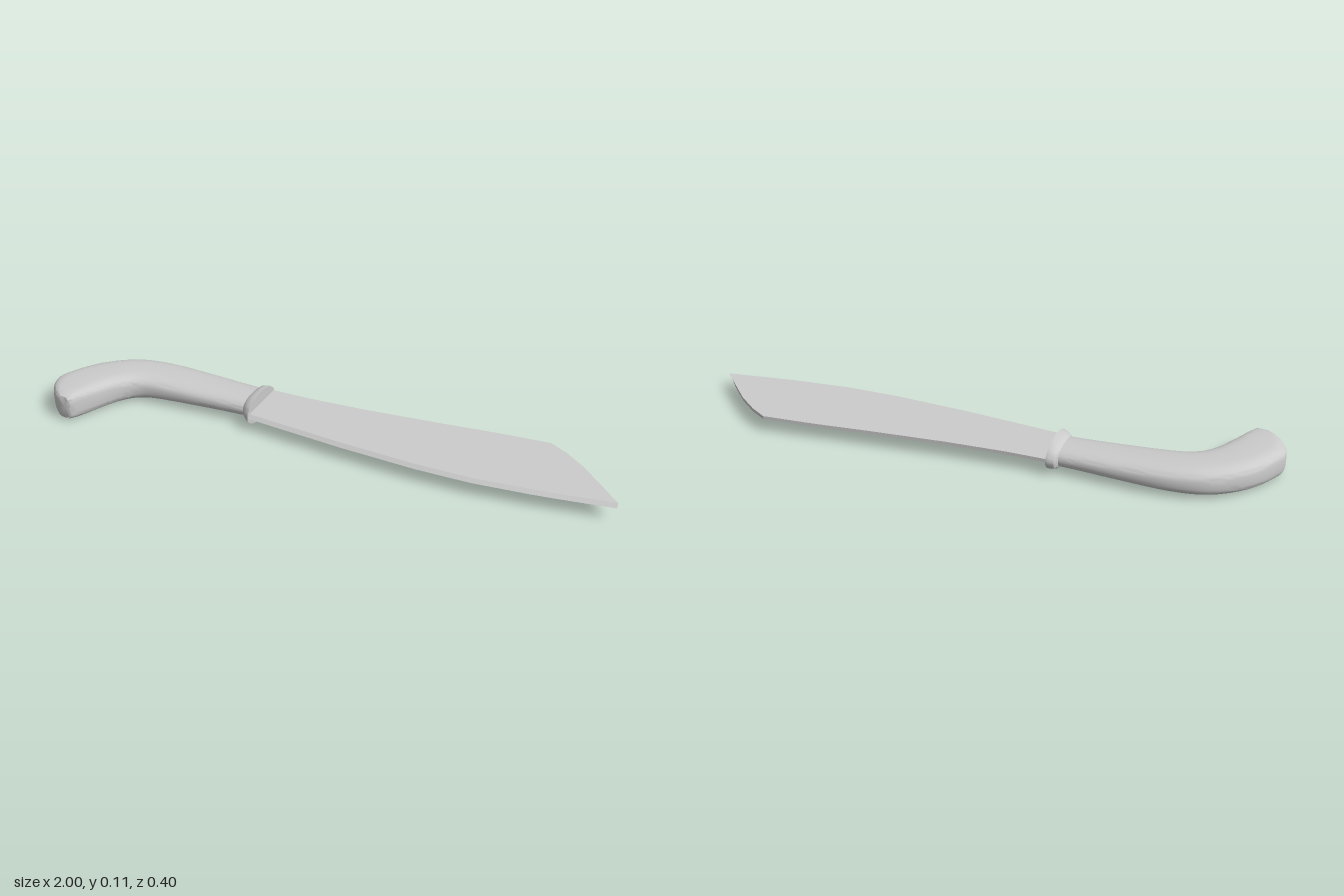
import * as THREE from 'three';
import { mergeVertices, toCreasedNormals } from 'three/addons/utils/BufferGeometryUtils.js';

const MID_Y = 0.056;
const V = (x, y, z) => new THREE.Vector3(x, y, z);

// Skin a list of rings (counter-clockwise about the direction of travel) and cap both ends
function loft(rings, crease) {
  const n = rings[0].length, pos = [], idx = [];
  rings.forEach(r => r.forEach(p => pos.push(p.x, p.y, p.z)));
  for (let i = 0; i < rings.length - 1; i++) {
    for (let j = 0; j < n; j++) {
      const a = i * n + j, b = i * n + (j + 1) % n;
      idx.push(a, b, b + n, a, b + n, a + n);
    }
  }
  [0, rings.length - 1].forEach((row, end) => {
    const c = rings[row].reduce((s, p) => s.add(p), V(0, 0, 0)).divideScalar(n);
    const ci = pos.length / 3;
    pos.push(c.x, c.y, c.z);
    for (let j = 0; j < n; j++) {
      const a = row * n + j, b = row * n + (j + 1) % n;
      idx.push(ci, ...(end ? [a, b] : [b, a]));
    }
  });
  const g = new THREE.BufferGeometry();
  g.setAttribute('position', new THREE.Float32BufferAttribute(pos, 3));
  g.setIndex(idx);
  return toCreasedNormals(mergeVertices(g), crease);
}

// Superellipse ring spanning a back and a front outline point
function ovalRing(ox, oz, ix, iz, h, power, sides = 40) {
  const bend = v => Math.sign(v) * Math.abs(v) ** (2 / power);
  return Array.from({ length: sides }, (_, k) => {
    const a = k / sides * Math.PI * 2, c = bend(Math.cos(a)), s = bend(Math.sin(a));
    return V((ox + ix) / 2 + c * (ox - ix) / 2, MID_Y + s * h, (oz + iz) / 2 + c * (oz - iz) / 2);
  });
}

export function createModel() {
  const group = new THREE.Group();
  const material = new THREE.MeshStandardMaterial({ color: 0xcccccc });
  const add = (name, geometry) => {
    const mesh = new THREE.Mesh(geometry, material);
    mesh.name = name;
    group.add(mesh);
  };

  // Curved grip, butt to neck: back x, z, front x, z, half height, section power
  const grip = [
    [-0.925, 0.193, -0.88, 0.193, 0.036, 3.5],
    [-0.945, 0.18, -0.868, 0.178, 0.046, 4],
    [-0.985, 0.13, -0.845, 0.14, 0.052, 4],
    [-1.0, 0.07, -0.82, 0.098, 0.053, 4],
    [-0.975, 0.012, -0.797, 0.062, 0.053, 3.8],
    [-0.91, -0.078, -0.765, 0.025, 0.052, 3.4],
    [-0.8, -0.156, -0.725, -0.001, 0.05, 3],
    [-0.68, -0.183, -0.66, -0.013, 0.047, 2.7],
    [-0.5, -0.177, -0.5, -0.016, 0.041, 2.5],
    [-0.38, -0.166, -0.38, -0.017, 0.038, 2.4],
    [-0.30, -0.160, -0.305, -0.016, 0.037, 2.3],
  ];
  const back = new THREE.CatmullRomCurve3(grip.map(p => V(p[0], p[4], p[1])));
  const front = new THREE.CatmullRomCurve3(grip.map(p => V(p[2], p[5], p[3])));
  const gripRings = [];
  for (let i = 0; i <= 50; i++) {
    const o = back.getPoint(i / 50), f = front.getPoint(i / 50);
    gripRings.push(ovalRing(o.x, o.z, f.x, f.z, o.y, f.y));
  }
  add('grip', loft(gripRings, 1.1));

  // Flared guard with a flat face
  add('guard', loft([
    ovalRing(-0.305, -0.16, -0.315, -0.015, 0.037, 2.3),
    ovalRing(-0.295, -0.177, -0.308, -0.004, 0.044, 2.2),
    ovalRing(-0.278, -0.180, -0.294, 0.012, 0.05, 2.1),
    ovalRing(-0.267, -0.178, -0.281, 0.022, 0.0525, 2),
  ], 0.7));

  // Blade with flat underside and the bevel ground on top: spine x, z, edge x, z
  const stations = [
    [-0.29, -0.173, -0.29, 0.016], [-0.13, -0.167, -0.13, 0.038],
    [0.08, -0.17, 0.08, 0.066], [0.35, -0.184, 0.35, 0.093],
    [0.54, -0.197, 0.54, 0.1], [0.73, -0.204, 0.73, 0.09],
    [0.79, -0.165, 0.79, 0.085], [0.86, -0.105, 0.86, 0.078],
    [0.93, -0.028, 0.93, 0.07], [0.993, 0.05, 1.0, 0.063],
  ];
  const top = 0.0645, bottom = 0.0525;
  add('blade', loft(stations.map(([sx, sz, ex, ez]) => [
    V(sx, bottom, sz), V(sx, top, sz),
    V(ex, top, ez - 0.0125), V(ex, bottom, ez),
  ]), 0.4));

  return group;
}
